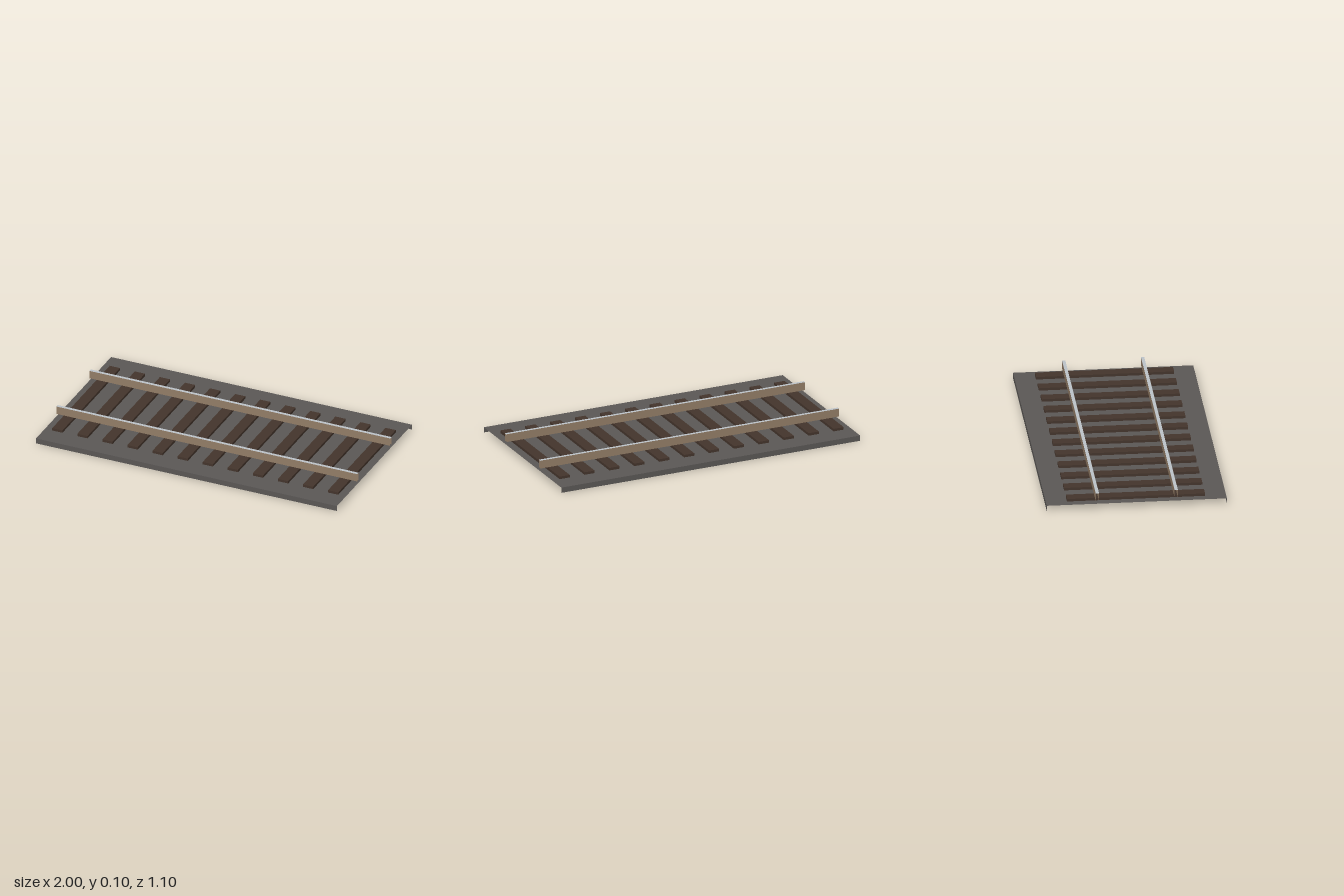
import * as THREE from 'three';

const LENGTH = 2;

function flat(name, color, side = THREE.FrontSide) {
  const material = new THREE.MeshStandardMaterial({ color, side });
  material.name = name;
  return material;
}

// Open sheet running along x, between two points of the (z, y) cross-section
function strip(name, [z0, y0], [z1, y1], material) {
  const geometry = new THREE.PlaneGeometry(LENGTH, Math.hypot(z1 - z0, y1 - y0));
  geometry.rotateX(Math.atan2(z1 - z0, y1 - y0));
  geometry.translate(0, (y0 + y1) / 2, (z0 + z1) / 2);
  const mesh = new THREE.Mesh(geometry, material);
  mesh.name = name;
  return mesh;
}

// Inverted channel with open ends: two sides and a top
function channel(name, z, halfWidth, bottom, top, sideMaterial, topMaterial) {
  const group = new THREE.Group();
  group.name = name;
  const a = z + halfWidth, b = z - halfWidth;
  group.add(
    strip(name + 'FrontSide', [a, bottom], [a, top], sideMaterial),
    strip(name + 'Top', [a, top], [b, top], topMaterial),
    strip(name + 'BackSide', [b, top], [b, bottom], sideMaterial),
  );
  return group;
}

export function createModel() {
  const model = new THREE.Group();
  model.name = 'railwayTrack';

  const gravel = flat('gravel grey', 0x5a5755, THREE.DoubleSide);
  const wood = flat('dark wood', 0x43342b);
  const rust = flat('rusty steel', 0x927c66, THREE.DoubleSide);
  const steel = flat('polished steel', 0xbcc2c7, THREE.DoubleSide);

  // Gravel bed
  model.add(channel('ballast', 0, 0.548, 0, 0.034, gravel, gravel));

  // Twelve wooden sleepers
  const sleepers = new THREE.Group();
  sleepers.name = 'sleepers';
  const sleeperGeometry = new THREE.BoxGeometry(0.068, 0.016, 0.84);
  for (let i = 0; i < 12; i++) {
    const sleeper = new THREE.Mesh(sleeperGeometry, wood);
    sleeper.name = 'sleeper';
    sleeper.position.set((i - 5.5) * (LENGTH / 12), 0.043, 0);
    sleepers.add(sleeper);
  }
  model.add(sleepers);

  // Pair of rails with bright running surfaces
  model.add(channel('frontRail', 0.24, 0.01, 0.051, 0.102, rust, steel));
  model.add(channel('backRail', -0.24, 0.01, 0.051, 0.102, rust, steel));

  return model;
}
